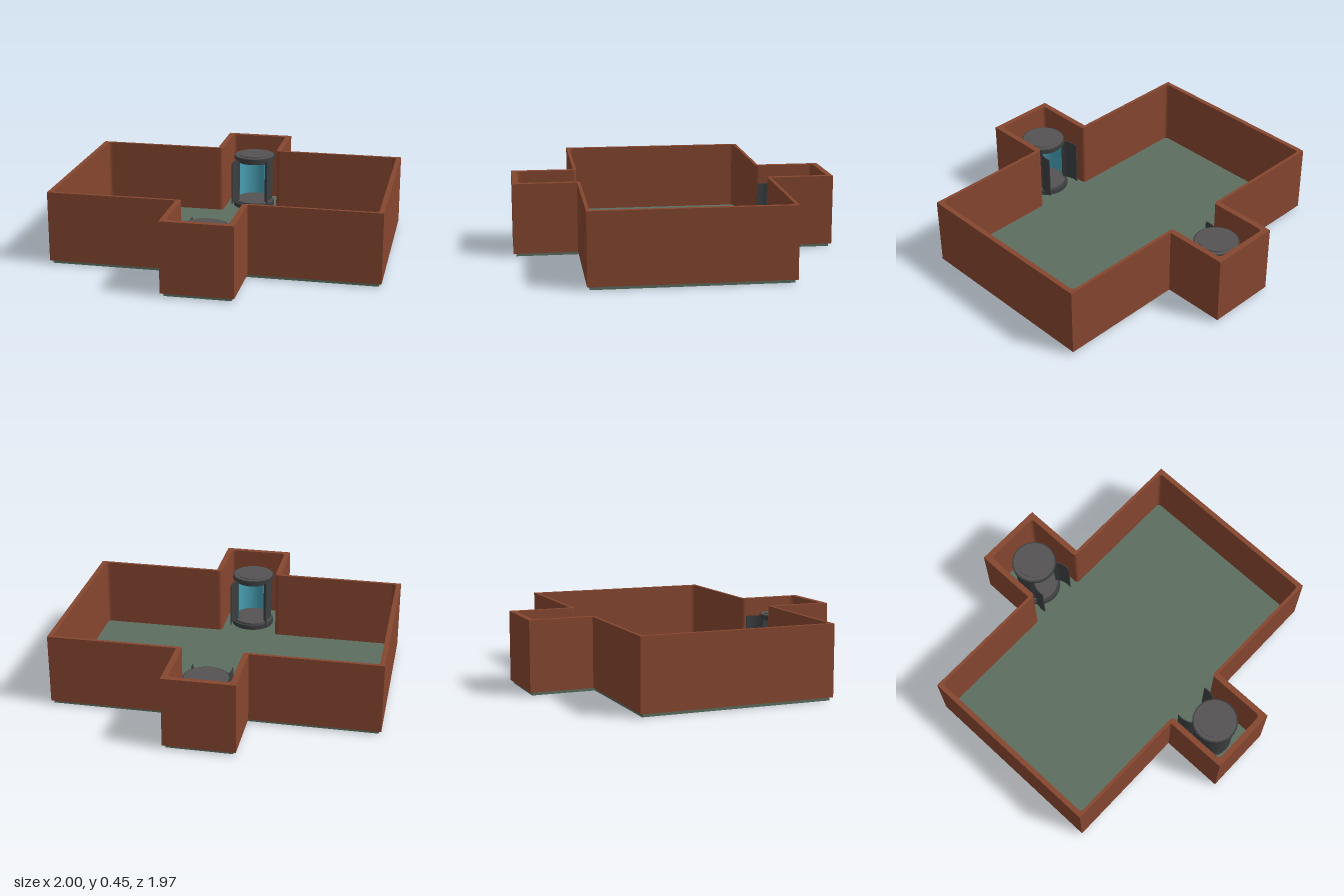
import * as THREE from 'three';

const material = (name, color, side = THREE.FrontSide) => {
  const m = new THREE.MeshStandardMaterial({ color, side });
  m.name = name;
  return m;
};

// Cross-shaped outline: main room half size w x d, alcove half width a, alcove end e
function crossPoints(w, d, a, e) {
  const quarter = [[w, d], [a, d], [a, e]];
  const flip = (sx, sz) => quarter.map(([x, z]) => [x * sx, z * sz]);
  return [...flip(1, 1), ...flip(-1, 1).reverse(), ...flip(-1, -1), ...flip(1, -1).reverse()]
    .map(([x, z]) => new THREE.Vector2(x, z));
}

// Trace the outline, rounding every corner by r
function trace(path, points, r) {
  points.forEach((p, i) => {
    const toward = (q) => p.clone().add(q.clone().sub(p).setLength(r));
    const a = toward(points.at(i - 1));
    const b = toward(points[(i + 1) % points.length]);
    if (i === 0) path.moveTo(a.x, a.y);
    else path.lineTo(a.x, a.y);
    path.quadraticCurveTo(p.x, p.y, b.x, b.y);
  });
  path.closePath();
  return path;
}

// Extrude a plan shape upward between two heights
function slab(shape, y0, y1, curveSegments = 4) {
  const g = new THREE.ExtrudeGeometry(shape, { depth: y1 - y0, bevelEnabled: false, curveSegments });
  return g.rotateX(-Math.PI / 2).translate(0, y0, 0);
}

export function createModel() {
  const brick = material('wall brown', 0x85462f);
  const green = material('floor green', 0x5c6d5f);
  const grey = material('pod grey', 0x545252);
  const dark = material('pod dark grey', 0x3c3e40, THREE.DoubleSide);
  const teal = material('pod glass teal', 0x489fb4, THREE.DoubleSide);

  const root = new THREE.Group();
  root.name = 'room';
  const add = (parent, name, geometry, mat) => {
    const mesh = new THREE.Mesh(geometry, mat);
    mesh.name = name;
    parent.add(mesh);
    return mesh;
  };

  // Floor plate and surrounding wall
  add(root, 'floor', slab(new THREE.Shape(crossPoints(0.985, 0.58, 0.197, 0.968)), 0, 0.02), green);
  const wall = new THREE.Shape(crossPoints(1, 0.595, 0.215, 0.985));
  wall.holes.push(trace(new THREE.Path(), crossPoints(0.97, 0.575, 0.18, 0.95), 0.025));
  add(root, 'wall', slab(wall, 0.02, 0.45), brick);

  // One pod, opening toward +z, with its axis at the local origin
  function makePod() {
    const pod = new THREE.Group();
    const disc = (name, r, y0, y1, mat, z = 0) =>
      add(pod, name, new THREE.CylinderGeometry(r, r, y1 - y0, 32).translate(0, (y0 + y1) / 2, z), mat);
    disc('baseRing', 0.138, 0.02, 0.048, dark, 0.017);
    disc('basePlate', 0.128, 0.048, 0.06, grey, 0.008);
    disc('capCollar', 0.122, 0.325, 0.345, dark);
    disc('capRim', 0.138, 0.345, 0.365, dark);
    disc('capRing', 0.13, 0.365, 0.368, grey);
    disc('capPlate', 0.107, 0.368, 0.373, grey);

    // Curved back, open at the front by 46 degrees to each side
    const gap = THREE.MathUtils.degToRad(46);
    const shell = (name, r, mat) => add(pod, name,
      new THREE.CylinderGeometry(r, r, 0.265, 28, 1, true, gap, 2 * Math.PI - 2 * gap).translate(0, 0.1925, 0), mat);
    shell('outerShell', 0.122, dark);
    shell('glassLining', 0.117, teal);

    // Curved doors swung open
    for (const s of [-1, 1]) {
      const door = new THREE.Shape();
      door.moveTo(0.086 * s, -0.085);
      door.quadraticCurveTo(0.126 * s, -0.13, 0.115 * s, -0.19);
      door.lineTo(0.121 * s, -0.19);
      door.quadraticCurveTo(0.132 * s, -0.13, 0.092 * s, -0.085);
      door.closePath();
      add(pod, s > 0 ? 'leftDoor' : 'rightDoor', slab(door, 0.065, 0.345, 8), dark);
    }
    return pod;
  }

  const backPod = makePod();
  backPod.name = 'backPod';
  backPod.position.z = -0.765;
  const frontPod = makePod();
  frontPod.name = 'frontPod';
  frontPod.position.z = 0.765;
  frontPod.rotation.y = Math.PI;
  root.add(backPod, frontPod);
  return root;
}
